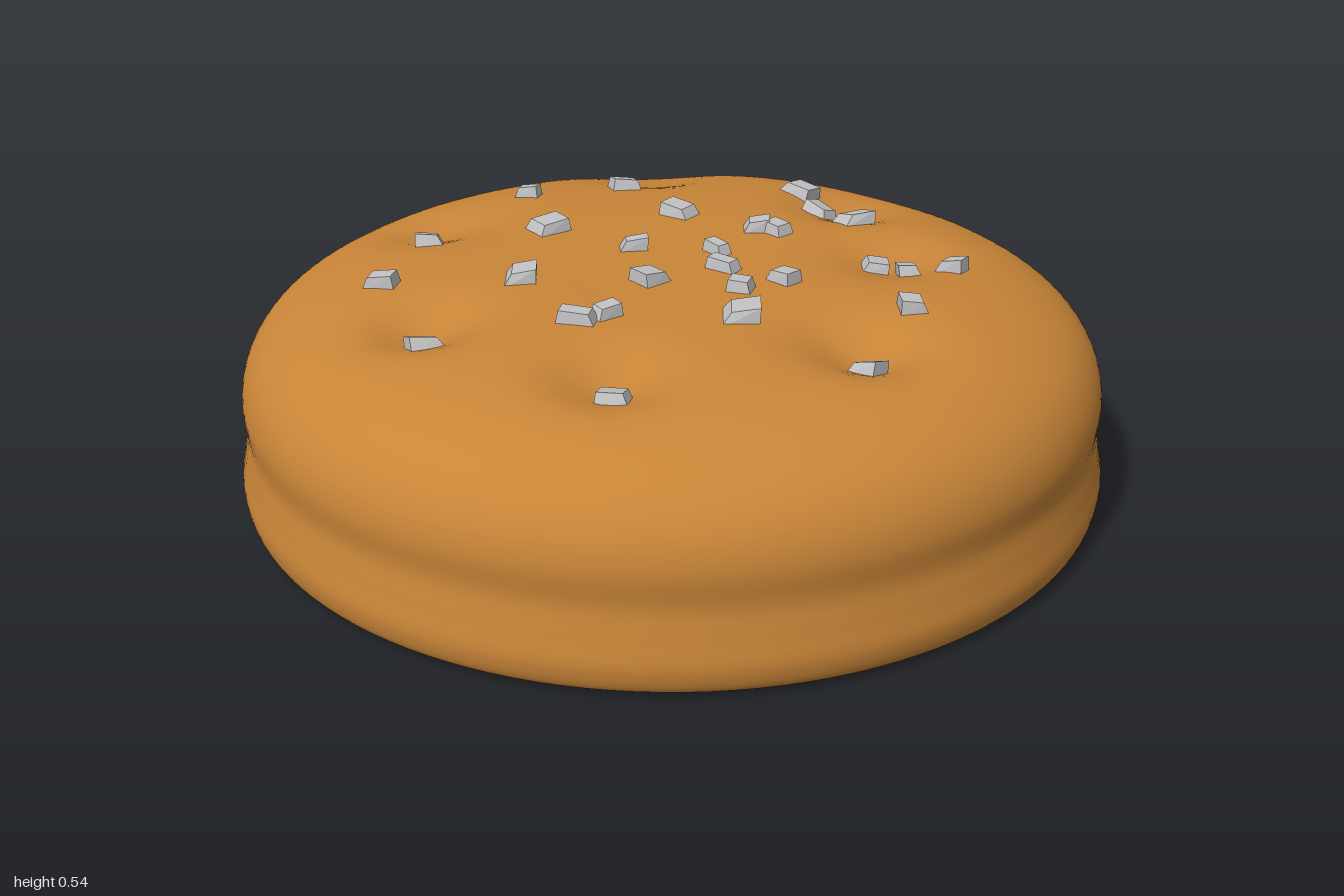
import * as THREE from 'three';
import { mergeVertices } from 'three/addons/utils/BufferGeometryUtils.js';

// Side and crown of the bun, from the base outwards, up and in to the middle
const profile = new THREE.CatmullRomCurve3([
  [0.95, 0], [0.985, 0.015], [1, 0.065], [0.99, 0.13], [0.98, 0.19], [0.985, 0.27], [0.968, 0.335],
  [0.925, 0.395], [0.85, 0.445], [0.74, 0.482], [0.6, 0.502], [0.4, 0.508], [0.2, 0.508], [0, 0.508],
].map(([r, y]) => new THREE.Vector3(r, y, 0)), false, 'centripetal').getPoints(90);

// Soft hollows pressed into the crown: x, z, depth, radius
const hollows = [
  [-0.49, 0.35, 0.06, 0.12], [-0.05, 0.58, 0.055, 0.12], [0.45, 0.37, 0.06, 0.12],
  [0.38, -0.52, 0.05, 0.13], [0.5, -0.13, 0.04, 0.12], [-0.6, -0.24, 0.04, 0.12],
  [-0.14, -0.72, 0.035, 0.13],
];

function dent(x, z) {
  let d = 0;
  for (const [hx, hz, depth, r] of hollows) {
    d += depth * Math.exp(-((x - hx) ** 2 + (z - hz) ** 2) / (r * r));
  }
  return d;
}

// Height of the crown at any point
function crown(x, z) {
  const r = Math.hypot(x, z);
  for (let i = profile.length - 1; i > 0; i--) {
    const a = profile[i], b = profile[i - 1];
    if (b.x >= r) {
      return THREE.MathUtils.mapLinear(r, a.x, b.x, a.y, b.y) - dent(x, z);
    }
  }
  return 0;
}

function bunGeometry() {
  let geo = new THREE.LatheGeometry(profile.map((p) => new THREE.Vector2(Math.max(p.x, 0), p.y)), 128);
  const p = geo.attributes.position;
  for (let i = 0; i < p.count; i++) {
    const y = p.getY(i);
    const weight = THREE.MathUtils.smoothstep(y, 0.34, 0.47);
    p.setY(i, y - weight * dent(p.getX(i), p.getZ(i)));
  }
  geo.deleteAttribute('uv');
  geo.deleteAttribute('normal');
  geo = mergeVertices(geo, 1e-5);
  geo.computeVertexNormals();
  return geo;
}

// Faceted crystal: a box with a narrowed, slightly tilted top
function grainGeometry(w, d, h, skew) {
  const geo = new THREE.BoxGeometry(w, h, d).toNonIndexed();
  const p = geo.attributes.position;
  for (let i = 0; i < p.count; i++) {
    if (p.getY(i) > 0) {
      p.setX(i, p.getX(i) * 0.74 + skew * w);
      p.setZ(i, p.getZ(i) * 0.76);
      p.setY(i, p.getY(i) + p.getX(i) * skew);
    } else if (p.getX(i) > 0) {
      p.setZ(i, p.getZ(i) * (1 - Math.abs(skew)));
    }
  }
  geo.computeVertexNormals();
  return geo;
}

// Grains of salt: x, z, width, depth, turn
const grains = [
  [0.26, -0.615, 0.09, 0.07, -0.6], [0.32, -0.5, 0.08, 0.07, -0.6], [0.4, -0.39, 0.09, 0.08, 0.6],
  [-0.19, -0.565, 0.08, 0.07, 0.4], [-0.425, -0.465, 0.065, 0.04, -0.2], [-0.02, -0.345, 0.085, 0.07, -0.5],
  [0.17, -0.26, 0.065, 0.06, 0.1], [0.225, -0.245, 0.065, 0.055, -0.7], [-0.325, -0.2, 0.09, 0.085, 0.7],
  [-0.595, -0.12, 0.07, 0.065, 0.2], [-0.105, -0.095, 0.07, 0.045, 0.2], [0.095, -0.095, 0.07, 0.04, -0.8],
  [0.46, -0.115, 0.065, 0.075, 0.1], [0.54, -0.095, 0.055, 0.06, 0.2], [0.635, -0.1, 0.07, 0.05, -0.5],
  [0.12, 0.01, 0.08, 0.045, -0.5], [0.26, 0.065, 0.07, 0.055, -0.7], [-0.035, 0.1, 0.075, 0.075, 0.8],
  [-0.33, 0.125, 0.075, 0.085, 0.15], [0.17, 0.13, 0.06, 0.055, -0.2], [-0.64, 0.165, 0.08, 0.05, -0.15],
  [0.55, 0.18, 0.065, 0.06, 0.2], [0.18, 0.285, 0.085, 0.095, 0.1], [-0.16, 0.35, 0.09, 0.05, -0.1],
  [-0.105, 0.315, 0.065, 0.05, 0.7], [-0.475, 0.42, 0.08, 0.075, 0.5],
];
const frontGrains = [[0.455, 0.43, 0.07, 0.065, -0.6], [-0.04, 0.63, 0.075, 0.06, -0.1]];

export function createModel() {
  const model = new THREE.Group();
  const crust = new THREE.MeshStandardMaterial({ color: 0xc98538 });
  crust.name = 'golden crust';
  const salt = new THREE.MeshStandardMaterial({ color: 0xc2c2c4 });
  salt.name = 'pale salt';
  salt.flatShading = true;

  // Bread and its flat underside
  const bun = new THREE.Mesh(bunGeometry(), crust);
  bun.name = 'bread';
  const base = new THREE.Mesh(new THREE.CircleGeometry(0.95, 128).rotateX(Math.PI / 2), crust);
  base.name = 'underside';
  model.add(bun, base);

  // Coarse salt, each grain lying on the slope beneath it
  const topping = new THREE.Group();
  topping.name = 'coarseSalt';
  const up = new THREE.Vector3(0, 1, 0);
  [...grains, ...frontGrains].forEach(([x, z, w, d, turn], i) => {
    const e = 0.02;
    const normal = new THREE.Vector3(
      crown(x - e, z) - crown(x + e, z), 2 * e, crown(x, z - e) - crown(x, z + e)).normalize();
    const skew = [0.08, -0.12, 0.16, -0.05][i % 4];
    const grain = new THREE.Mesh(grainGeometry(w, d, 0.036, skew), salt);
    grain.name = 'saltGrain';
    grain.position.set(x, crown(x, z) + 0.008, z);
    grain.quaternion.setFromUnitVectors(up, normal)
      .multiply(new THREE.Quaternion().setFromAxisAngle(up, turn));
    topping.add(grain);
  });
  model.add(topping);
  return model;
}
